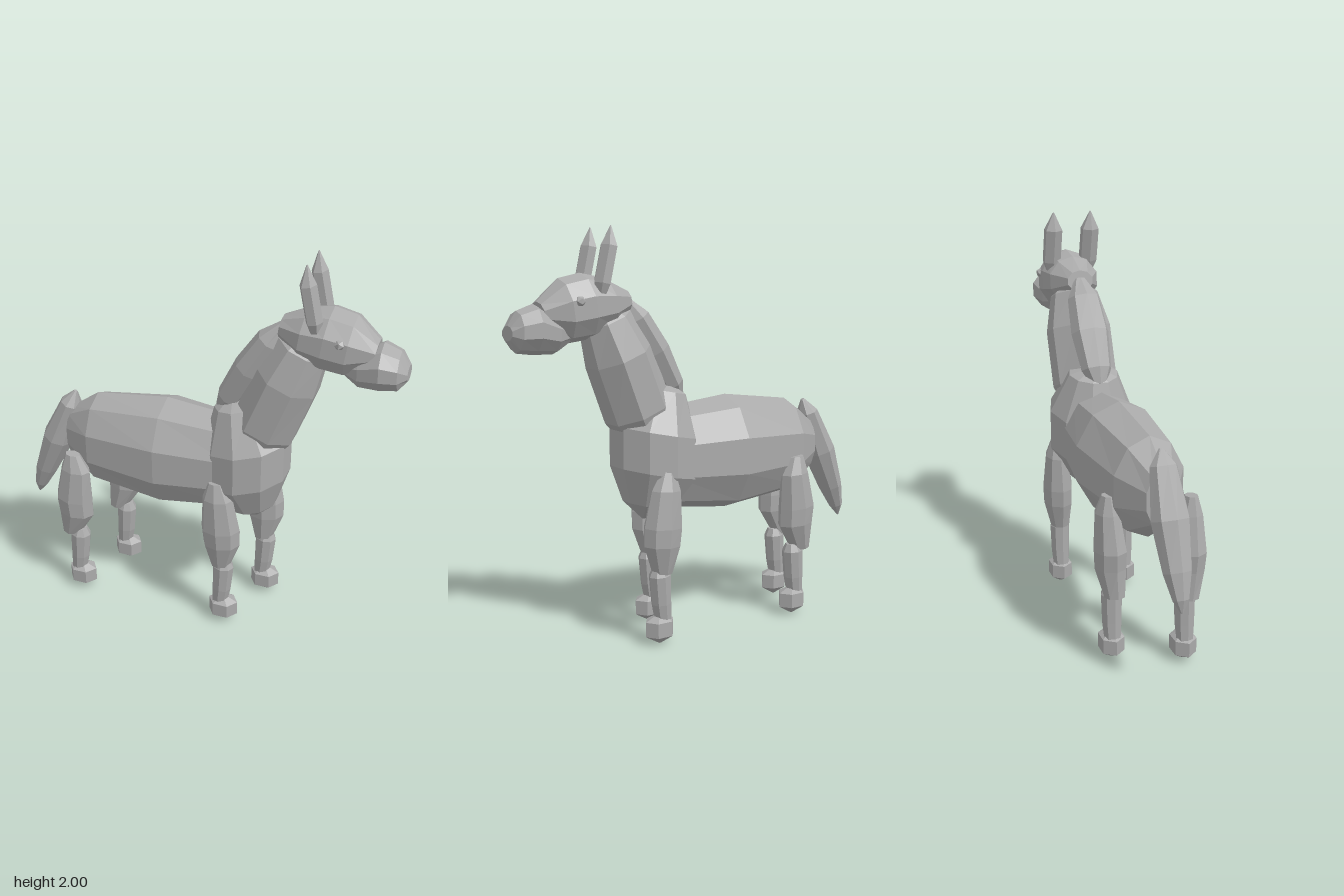
import * as THREE from 'three';

// Faceted loft. Each ring is [x, y, z, radius in the xy plane, radius along z].
function loft(rings, sides, phase = 0) {
  const a = rings[0], b = rings[rings.length - 1];
  const len = Math.hypot(b[0] - a[0], b[1] - a[1]);
  const ux = (b[1] - a[1]) / len, uy = -(b[0] - a[0]) / len;
  const point = (r, k) => {
    const t = phase + (k % sides) * Math.PI * 2 / sides;
    const c = Math.cos(t) * r[3];
    return [r[0] + ux * c, r[1] + uy * c, r[2] + Math.sin(t) * r[4]];
  };
  const pos = [];
  for (let k = 0; k < sides; k++) {
    for (let i = 0; i < rings.length - 1; i++) {
      const p = point(rings[i], k), q = point(rings[i], k + 1);
      const r = point(rings[i + 1], k), s = point(rings[i + 1], k + 1);
      pos.push(...p, ...r, ...q, ...q, ...r, ...s);
    }
    pos.push(...a.slice(0, 3), ...point(a, k), ...point(a, k + 1));
    pos.push(...b.slice(0, 3), ...point(b, k + 1), ...point(b, k));
  }
  const geo = new THREE.BufferGeometry();
  geo.setAttribute('position', new THREE.Float32BufferAttribute(pos, 3));
  geo.computeVertexNormals();
  return geo;
}

export function createModel() {
  const model = new THREE.Group();
  model.name = 'horse';
  const grey = new THREE.MeshStandardMaterial({ color: 0xaaaaaa, flatShading: true });
  grey.name = 'grey';

  const add = (name, geo, parent = model) => {
    const mesh = new THREE.Mesh(geo, grey);
    mesh.name = name;
    parent.add(mesh);
    return mesh;
  };

  // Barrel and chest
  add('body', loft([
    [-0.74, 0.885, 0, 0.14, 0.08], [-0.58, 0.885, 0, 0.25, 0.18],
    [-0.19, 0.885, 0, 0.295, 0.23], [0.2, 0.885, 0, 0.25, 0.18],
    [0.34, 0.885, 0, 0.13, 0.08]], 10));
  add('chest', loft([
    [0.3, 0.59, 0, 0.005, 0.005], [0.27, 0.66, 0, 0.13, 0.13],
    [0.235, 0.82, 0, 0.225, 0.22], [0.235, 1.02, 0, 0.225, 0.22],
    [0.19, 1.22, 0, 0.125, 0.13], [0.17, 1.25, 0, 0.05, 0.05]], 10, Math.PI / 10));

  // Neck and mane
  add('neck', loft([
    [0.27, 1.0, 0, 0.12, 0.12], [0.325, 1.13, 0, 0.17, 0.17],
    [0.43, 1.4, 0, 0.165, 0.17], [0.5, 1.57, 0, 0.13, 0.125],
    [0.53, 1.63, 0, 0.06, 0.06]], 8, Math.PI / 8));
  add('mane', loft([
    [0.1, 1.18, 0, 0.035, 0.04], [0.14, 1.25, 0, 0.065, 0.08],
    [0.24, 1.42, 0, 0.08, 0.1], [0.34, 1.58, 0, 0.07, 0.085],
    [0.4, 1.67, 0, 0.02, 0.03]], 8));

  // Head and muzzle
  add('head', loft([
    [0.39, 1.66, 0, 0.055, 0.07], [0.5, 1.645, 0, 0.125, 0.135],
    [0.61, 1.635, 0, 0.155, 0.145], [0.72, 1.615, 0, 0.15, 0.135],
    [0.84, 1.6, 0, 0.06, 0.08]], 10));
  add('muzzle', loft([
    [0.68, 1.51, 0, 0.03, 0.05], [0.77, 1.51, 0, 0.09, 0.1],
    [0.87, 1.535, 0, 0.115, 0.126], [0.95, 1.525, 0, 0.095, 0.1],
    [0.99, 1.52, 0, 0.035, 0.06]], 10));

  // Ears and eyes
  for (const s of [1, -1]) {
    const side = s > 0 ? 'right' : 'left';
    add(side + 'Ear', loft([
      [0.575, 1.67, s * 0.1, 0.02, 0.02], [0.565, 1.74, s * 0.1, 0.04, 0.05],
      [0.527, 1.91, s * 0.1, 0.04, 0.05], [0.517, 2.0, s * 0.1, 0.003, 0.003]], 6));
    const eye = add(side + 'Eye', new THREE.IcosahedronGeometry(0.025, 0));
    eye.position.set(0.69, 1.66, s * 0.127);
  }

  // Tail
  add('tail', loft([
    [-0.71, 1.12, 0, 0.01, 0.01], [-0.74, 1.05, 0, 0.055, 0.065],
    [-0.83, 0.83, 0, 0.085, 0.093], [-0.92, 0.62, 0, 0.06, 0.07],
    [-0.965, 0.505, 0, 0.035, 0.04], [-0.982, 0.445, 0, 0.005, 0.005]], 8));

  // Legs, with the pair on the far side stepping slightly forward
  const addLeg = (name, x, z, lean) => {
    const s = Math.sign(z);
    const leg = new THREE.Group();
    leg.name = name;
    add('upperLeg', loft([
      [-0.03 + lean, 0.85, s * 0.02, 0.04, 0.03], [-0.02 + lean, 0.76, s * 0.018, 0.08, 0.06],
      [-0.005, 0.58, s * 0.012, 0.103, 0.08], [0, 0.49, s * 0.01, 0.098, 0.077],
      [-0.005 - lean, 0.35, 0, 0.05, 0.052]], 8), leg);
    add('lowerLeg', loft([
      [0.01, 0.38, 0, 0.035, 0.035], [0.008, 0.34, 0, 0.056, 0.053],
      [0, 0.2, 0, 0.05, 0.05], [-0.01, 0.11, 0, 0.042, 0.042]], 8), leg);
    add('hoof', loft([
      [0.01, 0, 0, 0.005, 0.005], [0.01, 0.042, 0, 0.078, 0.063],
      [0.01, 0.115, 0, 0.078, 0.063], [0.01, 0.142, 0, 0.02, 0.02]], 6), leg);
    leg.position.set(x, 0, z);
    model.add(leg);
  };
  addLeg('rightFrontLeg', 0.165, 0.16, 0);
  addLeg('leftFrontLeg', 0.295, -0.16, 0);
  addLeg('rightHindLeg', -0.66, 0.16, 0.035);
  addLeg('leftHindLeg', -0.53, -0.16, 0.035);

  return model;
}
